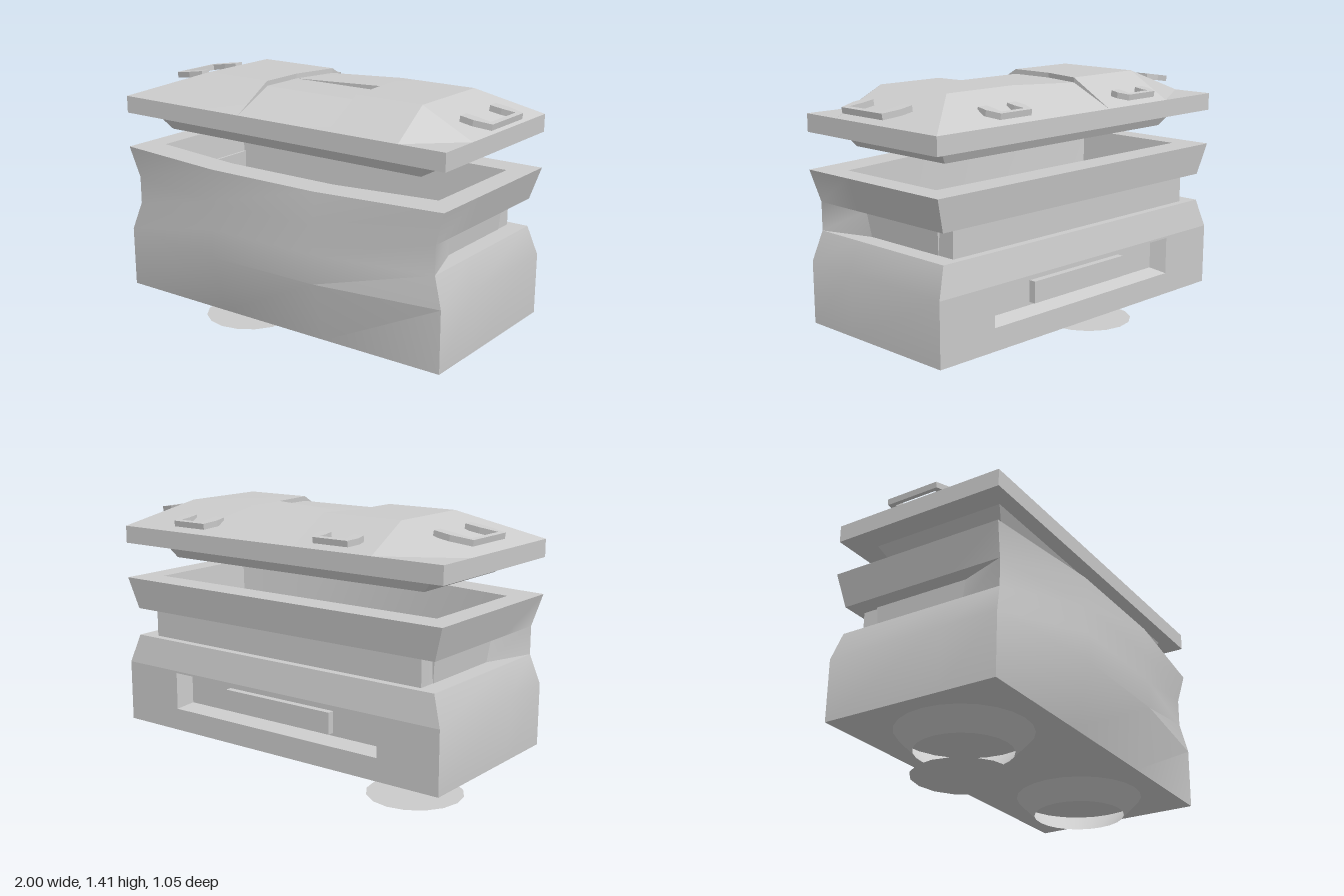
import * as THREE from 'three';
import { toCreasedNormals } from 'three/addons/utils/BufferGeometryUtils.js';

const mat = new THREE.MeshStandardMaterial({ color: 0xcccccc, side: THREE.DoubleSide });

function add(parent, name, geometry, x = 0, y = 0, z = 0) {
  const mesh = new THREE.Mesh(geometry, mat);
  mesh.name = name;
  mesh.position.set(x, y, z);
  parent.add(mesh);
  return mesh;
}

// Geometry from convex polygons, each fanned from its first corner
function fromPolygons(polygons, crease = 0.4) {
  const out = [];
  const [a, b, c] = [new THREE.Vector3(), new THREE.Vector3(), new THREE.Vector3()];
  for (const p of polygons) {
    for (let i = 1; i < p.length - 1; i++) {
      a.set(...p[0]); b.set(...p[i]); c.set(...p[i + 1]);
      const area = b.clone().sub(a).cross(c.clone().sub(a)).length();
      if (area > 1e-7) out.push(...p[0], ...p[i], ...p[i + 1]);
    }
  }
  const g = new THREE.BufferGeometry();
  g.setAttribute('position', new THREE.Float32BufferAttribute(out, 3));
  return toCreasedNormals(g, crease);
}

// Polygons between stacked rings (rings run counterclockwise seen from above)
function loft(rings, skip = () => false) {
  const polygons = [];
  for (let k = 0; k < rings.length - 1; k++) {
    const lo = rings[k], hi = rings[k + 1], n = lo.length;
    for (let i = 0; i < n; i++) {
      const j = (i + 1) % n;
      if (!skip(k, i)) polygons.push([lo[i], lo[j], hi[j], hi[i]]);
    }
  }
  return polygons;
}

const rect = (y, x0, x1, z0, z1) => [[x0, y, z0], [x0, y, z1], [x1, y, z1], [x1, y, z0]];
const rectXY = (z, w, y0, y1) => [[-w, y0, z], [-w, y1, z], [w, y1, z], [w, y0, z]];

function createBody() {
  const body = new THREE.Group();
  body.name = 'body';
  body.position.x = -0.02;

  // Ring: height, side half width, front corner half width, front corner z, front middle z, back z
  const ring = ([y, hx, hf, zf, zm, zb]) => [
    [-hx, y, zb], [-hx, y, 0.13], [-hf, y, zf], [-0.32, y, zm],
    [0.32, y, zm], [hf, y, zf], [hx, y, 0.13], [hx, y, zb],
  ];
  const rings = [
    [0.22, 0.98, 0.98, 0.43, 0.432, -0.507],
    [0.54, 0.98, 0.98, 0.432, 0.522, -0.507],
    [0.69, 0.93, 0.93, 0.41, 0.522, -0.48],
    [0.69, 0.835, 0.93, 0.41, 0.522, -0.44],
    [0.835, 0.835, 0.93, 0.41, 0.52, -0.44],
    [0.835, 0.93, 0.93, 0.41, 0.52, -0.48],
    [1.0, 0.98, 0.98, 0.43, 0.51, -0.505],
    [1.0, 0.86, 0.86, 0.28, 0.36, -0.36],
    [0.45, 0.82, 0.82, 0.25, 0.33, -0.33],
  ].map(ring);
  const shell = loft(rings, (k, i) => k === 0 && i === 7);
  shell.push([...rings[0]].reverse(), rings[rings.length - 1]);
  add(body, 'shell', fromPolygons(shell, 0.45));

  // Back plate with its window
  const plate = new THREE.Shape([[-0.98, 0.22], [0.98, 0.22], [0.98, 0.54], [-0.98, 0.54]]
    .map(p => new THREE.Vector2(...p)));
  plate.holes.push(new THREE.Path([[-0.64, 0.335], [-0.64, 0.53], [0.64, 0.53], [0.64, 0.335]]
    .map(p => new THREE.Vector2(...p))));
  add(body, 'backPlate', new THREE.ShapeGeometry(plate).rotateY(Math.PI), 0, 0, -0.507);

  // Recess walls and floor, with a raised bar inside
  const mouth = rectXY(-0.507, 0.64, 0.335, 0.53), floor = rectXY(-0.43, 0.6, 0.36, 0.51);
  add(body, 'backRecess', fromPolygons([...loft([mouth, floor]), floor]));
  add(body, 'recessBar', new THREE.BoxGeometry(0.66, 0.11, 0.04), 0, 0.43, -0.445);
  return body;
}

function createLidTop() {
  const E = 1.275, H = 1.41, M = 1.385, F = 0.43, B = -0.505, f = 0.2, b = -0.27, s = -0.04;
  return fromPolygons([
    // Left-hand wing
    [[-0.62, H, f], [-0.23, H, f], [-0.23, H, s], [-0.17, H, b], [-0.62, H, b]],
    [[-1, E, F], [-0.23, E, F], [-0.23, H, f], [-0.62, H, f]],
    [[-1, E, F], [-0.62, H, f], [-0.62, H, b], [-1, E, -0.28]],
    [[-1, E, -0.28], [-0.62, H, b], [-0.62, E, B]],
    [[-0.62, E, B], [-0.62, H, b], [-0.17, H, b], [-0.17, E, B]],
    // Right-hand wing
    [[0.32, H, f], [0.69, H, f], [0.69, H, b], [0.27, H, b], [0.32, H, s]],
    [[0.32, E, F], [0.71, E, F], [0.69, H, f], [0.32, H, f]],
    [[0.71, E, F], [0.96, E, f], [0.69, H, f]],
    [[0.96, E, f], [0.96, E, B], [0.69, H, b], [0.69, H, f]],
    [[0.96, E, B], [0.27, E, B], [0.27, H, b], [0.69, H, b]],
    // Sunken middle panel, its rear half tilted
    [[-0.23, E, F], [0.32, E, F], [0.32, M, f], [-0.23, M, f]],
    [[-0.23, M, f], [0.32, M, f], [0.32, M, s], [-0.23, M, s]],
    [[-0.23, M, s], [0.32, H, s], [0.27, H, b], [-0.17, M, b]],
    [[-0.17, M, b], [0.27, H, b], [0.27, E, B], [-0.17, E, B]],
    // Steps around the panel
    [[-0.23, E, F], [-0.23, M, f], [-0.23, H, f]],
    [[-0.23, M, f], [-0.23, M, s], [-0.23, H, s], [-0.23, H, f]],
    [[-0.23, M, s], [-0.17, M, b], [-0.17, H, b], [-0.23, H, s]],
    [[-0.17, M, b], [-0.17, E, B], [-0.17, H, b]],
    [[0.32, E, F], [0.32, H, f], [0.32, M, f]],
    [[0.32, M, f], [0.32, H, f], [0.32, H, s], [0.32, M, s]],
    [[-0.23, M, s], [0.32, M, s], [0.32, H, s]],
  ], 0.1);
}

// U-shaped grip: the bar lies at local -z, the flared feet reach toward +z
function handleGeometry(w, reach) {
  const t = 0.026, half = [[w + 0.02, reach], [w + 0.025, reach * 0.55], [w, 0]];
  const inner = [[w - t, t], [w - t - 0.01, reach * 0.6], [w - 0.035, reach]];
  const right = [...half, ...inner];
  const outline = [
    ...half.map(([x, y]) => [-x, y]), ...[...half].reverse(), ...[...inner].reverse(),
    ...inner.map(([x, y]) => [-x, y]),
  ].map(p => new THREE.Vector2(...p));
  const g = new THREE.ExtrudeGeometry(new THREE.Shape(outline), { depth: 0.03, bevelEnabled: false });
  return g.rotateX(Math.PI / 2).translate(0, 0.015, 0);
}

function createLid() {
  const lid = new THREE.Group();
  lid.name = 'lid';
  add(lid, 'lidSlab', new THREE.BoxGeometry(1.96, 0.09, 0.935), -0.02, 1.23, -0.0375);
  add(lid, 'lidTop', createLidTop());

  const low = rect(1.105, -0.79, 0.76, -0.33, 0.31), high = rect(1.186, -0.87, 0.82, -0.37, 0.35);
  add(lid, 'lidPlug', fromPolygons([...loft([low, high]), [...low].reverse()]));

  // Handles: bar position, turn, half width and reach
  const handles = [
    [-0.98, 1.333, -0.085, Math.PI / 2, 0.145, 0.2],
    [1.0, 1.328, -0.045, -Math.PI / 2, 0.145, 0.16],
    [-0.4, 1.32, -0.522, 0, 0.1, 0.1],
    [0.49, 1.32, -0.517, 0, 0.1, 0.13],
  ];
  for (const [x, y, z, turn, w, reach] of handles) {
    const h = add(lid, 'handle', handleGeometry(w, reach), x, y, z);
    h.rotation.set(-0.15, turn, 0, 'YXZ');
  }
  return lid;
}

export function createModel() {
  const model = new THREE.Group();
  model.name = 'chest';
  model.add(createBody(), createLid());

  // Open conical feet
  for (const x of [-0.565, 0.52]) {
    add(model, 'foot', new THREE.CylinderGeometry(0.335, 0.24, 0.1, 24, 1, true), x, 0.17, -0.03);
  }
  // Loose round base plate
  add(model, 'basePlate', new THREE.CircleGeometry(0.25, 16).rotateX(Math.PI / 2), -0.565, 0, -0.03);
  return model;
}
